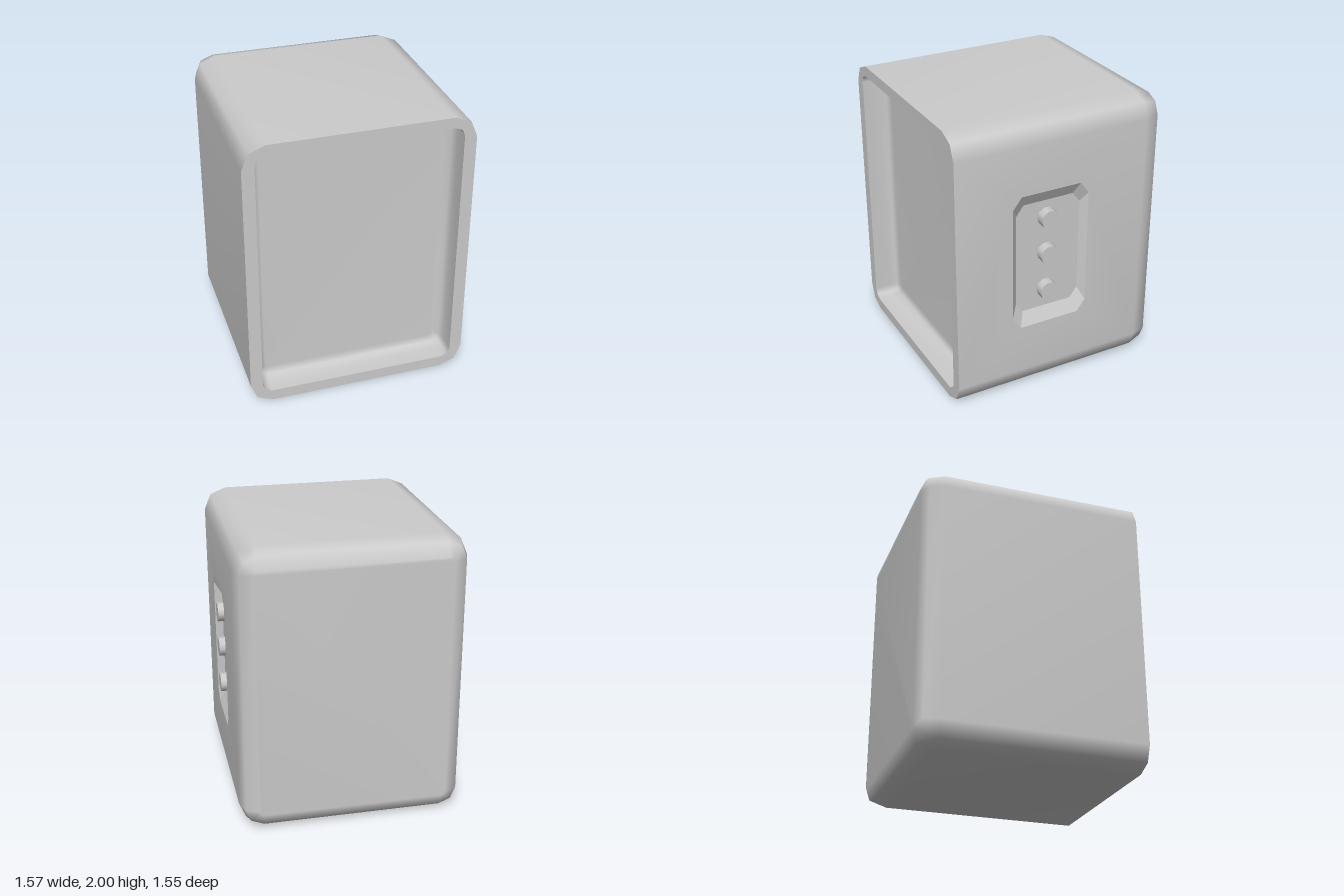
import * as THREE from 'three';
import { mergeGeometries, mergeVertices } from 'three/addons/utils/BufferGeometryUtils.js';

const X0 = -0.785, X1 = 0.77, FRONT = 0.775;
const material = () => new THREE.MeshStandardMaterial({ color: 0xcccccc });

// Rounded rectangle cross-section, 12 points, counterclockwise seen from the front
function ring([x0, x1, y0, y1], inset, r, z) {
  const pts = [];
  [[x1, y1, -1, -1], [x0, y1, 1, -1], [x0, y0, 1, 1], [x1, y0, -1, 1]].forEach(([x, y, sx, sy], c) => {
    for (let k = 0; k < 3; k++) {
      const a = (c + k / 2) * Math.PI / 2;
      pts.push(new THREE.Vector3(
        x + sx * (inset + r) + r * Math.cos(a), y + sy * (inset + r) + r * Math.sin(a), z));
    }
  });
  return pts;
}

// Joins rings running front to back and caps the last one
function loft(rings, outward, skip = () => false) {
  const n = rings[0].length, index = [];
  const tri = (a, b, c) => index.push(...(outward ? [a, c, b] : [a, b, c]));
  for (let i = 0; i < rings.length - 1; i++) {
    for (let j = 0; j < n; j++) {
      if (skip(i, j)) continue;
      const a = i * n + j, b = i * n + (j + 1) % n;
      tri(a, b, b + n);
      tri(a, b + n, a + n);
    }
  }
  const last = (rings.length - 1) * n;
  for (let j = 1; j < n - 1; j++) tri(last, last + j, last + j + 1);
  const g = new THREE.BufferGeometry().setFromPoints(rings.flat());
  g.setIndex(index);
  return g;
}

const toShape = (pts) => new THREE.Shape(pts.map((p) => new THREE.Vector2(p.x, p.y)));

// Rectangle with cut corners; u runs towards the back of the side wall
function cutRect(u0, u1, v0, v1, cu, cv) {
  return [[u1, v0 + cv], [u1, v1 - cv], [u1 - cu, v1], [u0 + cu, v1],
    [u0, v1 - cv], [u0, v0 + cv], [u0 + cu, v0], [u1 - cu, v0]]
    .map(([u, v]) => new THREE.Vector3(u, v, 0));
}

export function createModel() {
  const group = new THREE.Group();
  const add = (geometry, name) => {
    const mesh = new THREE.Mesh(geometry, material());
    mesh.name = name;
    group.add(mesh);
    return mesh;
  };

  // Outer shell with soft edges; its +x wall is a sheet with a hole for the control panel
  const box = [X0, X1, 0, 2];
  const outer = [
    ring(box, 0, 0.155, FRONT), ring(box, 0, 0.155, -0.63),
    ring(box, 0.035, 0.12, -0.74), ring(box, 0.125, 0.03, -0.78),
  ];
  const shell = loft(outer, true, (i, j) => i === 0 && j === 11);
  const panelOuter = cutRect(-0.365, 0.2, 0.505, 1.5, 0.063, 0.083);
  const panelInner = cutRect(-0.315, 0.16, 0.6, 1.41, 0.053, 0.07);
  const wall = toShape([[-FRONT, 0.155], [0.63, 0.155], [0.63, 1.845], [-FRONT, 1.845]]
    .map(([x, y]) => ({ x, y })));
  wall.holes.push(toShape(panelOuter));
  const side = new THREE.ShapeGeometry(wall).rotateY(Math.PI / 2).translate(X1, 0, 0);
  side.deleteAttribute('normal');
  side.deleteAttribute('uv');
  const body = mergeVertices(mergeGeometries([shell, side]));
  body.computeVertexNormals();
  add(body, 'shell');

  // Flat front rim
  const opening = [-0.7, 0.685, 0.08, 1.925];
  const inner = [
    ring(opening, 0, 0.065, FRONT), ring(opening, 0, 0.065, 0.66),
    ring(opening, 0.02, 0.055, 0.61), ring(opening, 0.065, 0.03, 0.59),
  ];
  const rim = toShape(outer[0]);
  rim.holes.push(toShape(inner[0]));
  add(new THREE.ShapeGeometry(rim).translate(0, 0, FRONT), 'frontRim');

  // Shallow front recess with a rounded floor edge
  const recess = loft(inner, false);
  recess.computeVertexNormals();
  add(recess, 'screenRecess');

  // Sunken control panel with sloped, flat-shaded sides
  const depth = 0.05;
  panelInner.forEach((p) => { p.z = -depth; });
  const panel = loft([panelOuter, panelInner], false).toNonIndexed();
  panel.rotateY(Math.PI / 2).translate(X1, 0, 0);
  panel.computeVertexNormals();
  add(panel, 'controlPanel');

  // Three round buttons
  for (const y of [1.29, 1.025, 0.745]) {
    const button = add(new THREE.CylinderGeometry(0.068, 0.068, 0.065, 10), 'button');
    button.rotation.z = -Math.PI / 2;
    button.position.set(0.7525, y, 0.09);
  }
  return group;
}
